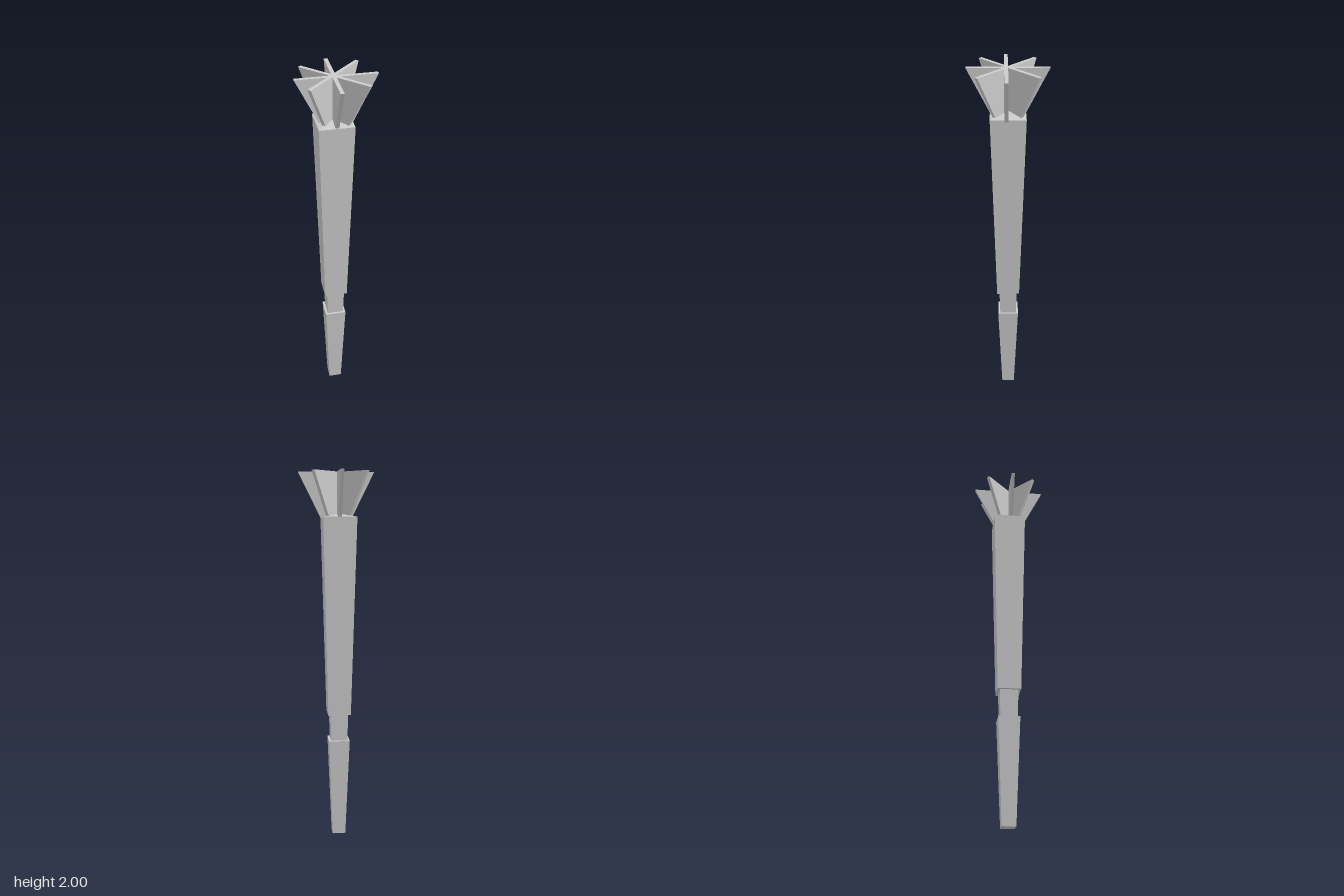
import * as THREE from 'three';

const CX = -0.012; // the shaft sits slightly off centre from the blades

export function createModel() {
  const model = new THREE.Group();
  const mat = new THREE.MeshStandardMaterial({ color: 0xcccccc, flatShading: true });

  // Square tapered section between two heights, given half widths
  function section(name, y0, y1, half0, half1) {
    const geo = new THREE.CylinderGeometry(half1 * Math.SQRT2, half0 * Math.SQRT2, y1 - y0, 4);
    geo.rotateY(Math.PI / 4);
    const mesh = new THREE.Mesh(geo, mat);
    mesh.name = name;
    mesh.position.set(CX, (y0 + y1) / 2, 0);
    model.add(mesh);
  }
  section('lowerHandle', 0, 0.553, 0.036, 0.057);
  section('neck', 0.55, 0.705, 0.045, 0.049);
  section('upperShaft', 0.702, 1.77, 0.062, 0.089);
  section('shaftCap', 1.77, 1.79, 0.089, 0.001);

  // Crown of four crossing blades, wide at the top and narrow at the shaft
  const thick = 0.019;
  const profile = new THREE.Shape([
    new THREE.Vector2(-0.08, 1.76),
    new THREE.Vector2(0.08, 1.76),
    new THREE.Vector2(0.2, 2),
    new THREE.Vector2(-0.2, 2),
  ]);
  const bladeGeo = new THREE.ExtrudeGeometry(profile, { depth: thick, bevelEnabled: false });
  bladeGeo.translate(0, 0, -thick / 2);

  const crown = new THREE.Group();
  crown.name = 'crown';
  const centres = [[0, 0.009], [-0.008, -0.007], [-0.0105, 0], [-0.008, 0.007]];
  centres.forEach(([x, z], i) => {
    const blade = new THREE.Mesh(bladeGeo, mat);
    blade.name = 'crownBlade' + (i + 1);
    blade.position.set(x, 0, z);
    blade.rotation.y = (i * Math.PI) / 4;
    crown.add(blade);
  });
  model.add(crown);
  return model;
}
